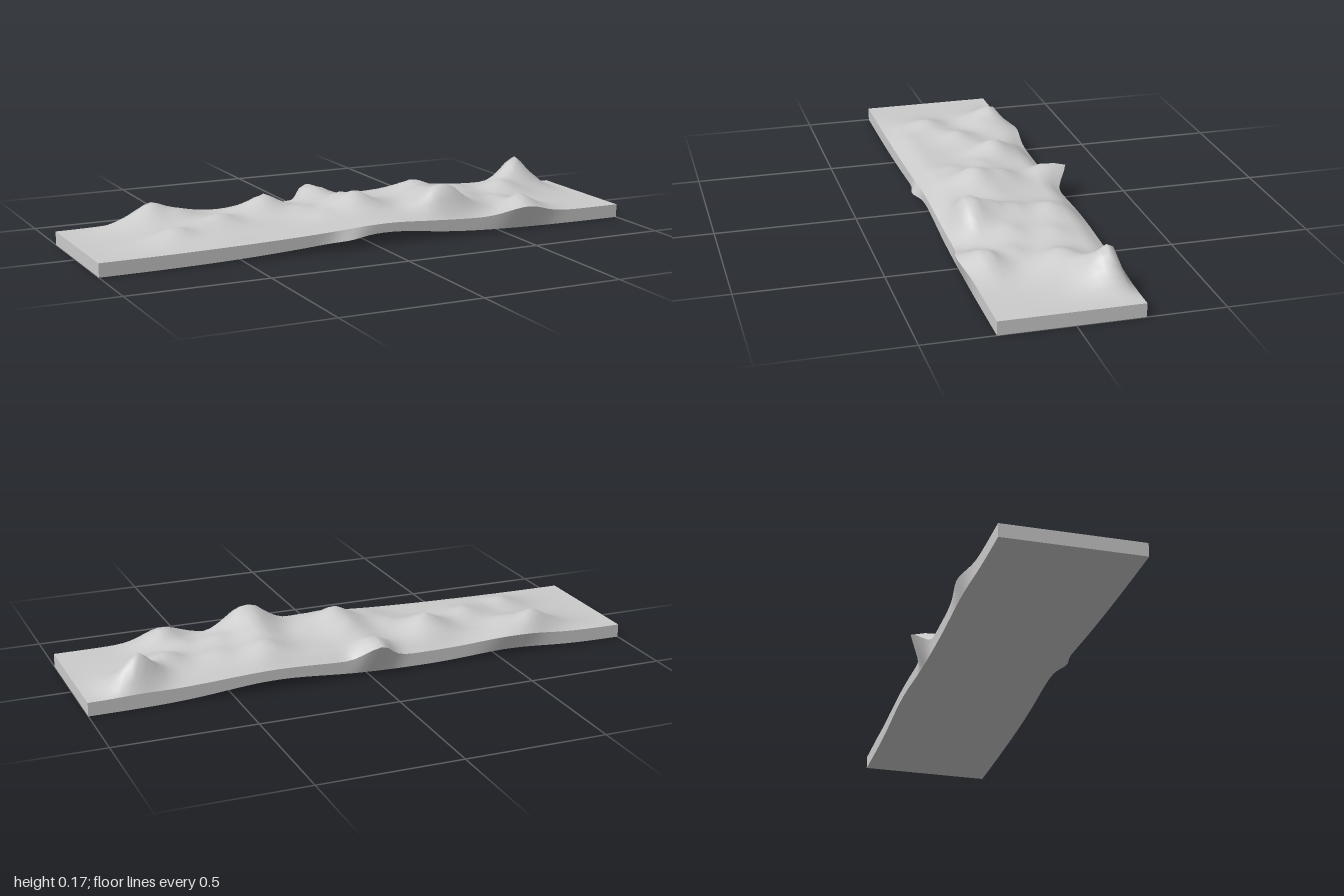
import * as THREE from 'three';

const NX = 72, NZ = 20, BACK = -0.23, FRONT = 0.255;

// hills: x, z, height above the slab top, radius
const hills = [
  [-0.67, -0.165, 0.085, 0.11], [-0.58, -0.13, 0.055, 0.11], [-0.67, 0.09, 0.052, 0.1],
  [-0.56, 0.05, 0.04, 0.1], [-0.48, 0.01, 0.062, 0.11], [-0.38, -0.04, 0.04, 0.1],
  [-0.28, -0.08, 0.094, 0.12], [-0.17, 0, 0.055, 0.13], [-0.13, 0.11, 0.052, 0.12],
  [0.01, 0.065, 0.105, 0.13], [0, -0.03, 0.08, 0.13], [-0.02, -0.15, 0.055, 0.12],
  [0.13, 0.03, 0.05, 0.13], [0.29, 0.165, 0.115, 0.11], [0.34, 0.16, 0.11, 0.1],
  [0.31, 0.09, 0.095, 0.11], [0.32, 0.01, 0.082, 0.13], [0.34, -0.11, 0.082, 0.13],
  [0.45, 0.06, 0.06, 0.12], [0.49, -0.08, 0.055, 0.14], [0.62, 0.19, 0.065, 0.085],
  [0.58, 0.09, 0.045, 0.1], [0.68, -0.05, 0.07, 0.11], [0.75, -0.12, 0.065, 0.09],
  [0.805, -0.165, 0.13, 0.085],
];

const bump = (x, c, w) => Math.exp(-(((x - c) / w) ** 2));
const smooth = THREE.MathUtils.smoothstep;

// gentle waves of the whole slab, different along its front and back rims
function wave(x, z) {
  const t = smooth(z, BACK, FRONT);
  const front = 0.02 * bump(x, 0, 0.42) + 0.016 * bump(x, 0.05, 0.18);
  const back = 0.026 * bump(x, 0.35, 0.25) + 0.016 * bump(x, -0.55, 0.2);
  return 0.006 * bump(x, 0, 0.5) + front * t + back * (1 - t) ** 2;
}

// top surface height
function topY(x, z) {
  let sum = 0;
  for (const [hx, hz, h, r] of hills) {
    const d = Math.hypot(x - hx, z - hz) / r;
    sum += (h * Math.exp(-(d ** 1.4))) ** 4;
  }
  // raised ground between the hills, ending along a slanted line on the left
  const slant = x + 0.77 * z;
  const ground = (0.028 + 0.014 * bump(x, 0.2, 0.35))
    * smooth(x, -0.88, -0.5) * (1 - smooth(slant, 0.52, 0.78));
  const hill = (sum + ground ** 4) ** 0.25;
  const fade = smooth(FRONT - z, -0.01, 0.075) * smooth(z - BACK, -0.01, 0.055)
    * smooth(1 - Math.abs(x), 0, 0.12);
  const frontLift = 0.033 * bump(x, 0.6, 0.1) * smooth(z, 0.16, FRONT);
  const backLift = (0.06 * bump(x, -0.03, 0.06) + 0.012 * bump(x, -0.56, 0.12))
    * (1 - smooth(z, BACK, -0.14));
  return 0.048 + 0.6 * wave(x, z) * (1 - 0.7 * fade) + hill * fade + frontLift + backLift;
}

// upper rim bulges outward in a few places
function topPoint(x, z) {
  const out = 0.027 * bump(x, 0.6, 0.09) * smooth(z, 0.17, FRONT)
    - (0.053 * bump(x, -0.03, 0.055) + 0.018 * bump(x, -0.56, 0.1)) * (1 - smooth(z, BACK, -0.16));
  return [x, topY(x, z), z + out];
}

// underside, with a small bulge on the front edge
function bottomPoint(x, z) {
  return [x, wave(x, z), z + 0.018 * bump(x, -0.1, 0.06) * smooth(z, 0.18, FRONT)];
}

// sheet of nu by nv cells from a point rule; faces along du x dv
function sheet(name, nu, nv, point) {
  const pos = [], index = [];
  for (let j = 0; j <= nv; j++)
    for (let i = 0; i <= nu; i++) pos.push(...point(i / nu, j / nv));
  for (let j = 0; j < nv; j++)
    for (let i = 0; i < nu; i++) {
      const a = j * (nu + 1) + i, b = a + 1, c = a + nu + 1, d = c + 1;
      index.push(a, b, d, a, d, c);
    }
  const geo = new THREE.BufferGeometry();
  geo.setAttribute('position', new THREE.Float32BufferAttribute(pos, 3));
  geo.setIndex(index);
  geo.computeVertexNormals();
  const mesh = new THREE.Mesh(geo, new THREE.MeshStandardMaterial({ color: 0xcccccc }));
  mesh.name = name;
  return mesh;
}

export function createModel() {
  const group = new THREE.Group();
  group.name = 'terrainSlab';
  const X = (t) => -1 + 2 * t;
  const Z = (t) => BACK + (FRONT - BACK) * t;
  // wall joining the underside to the top along one rim
  const wall = (x, z, v) => {
    const a = bottomPoint(x, z), b = topPoint(x, z);
    return a.map((n, k) => n + (b[k] - n) * v);
  };

  group.add(
    sheet('hillyTop', NX, NZ, (u, v) => topPoint(X(u), Z(1 - v))),
    sheet('underside', NX, NZ, (u, v) => bottomPoint(X(u), Z(v))),
    sheet('frontWall', NX, 1, (u, v) => wall(X(u), FRONT, v)),
    sheet('backWall', NX, 1, (u, v) => wall(X(1 - u), BACK, v)),
    sheet('leftWall', NZ, 1, (u, v) => wall(1, Z(1 - u), v)),
    sheet('rightWall', NZ, 1, (u, v) => wall(-1, Z(u), v)),
  );
  return group;
}
